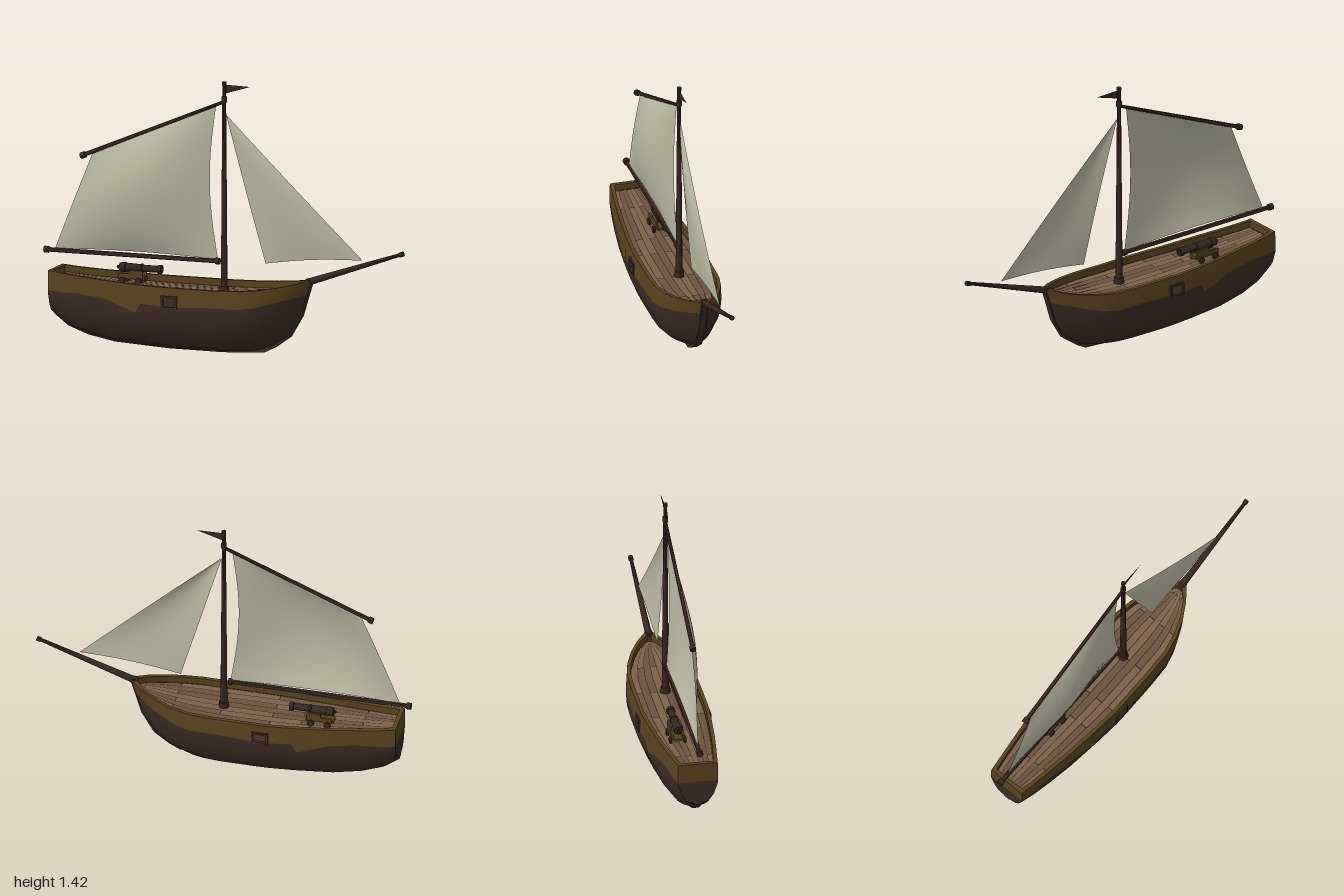
import * as THREE from 'three';
import { toCreasedNormals } from 'three/addons/utils/BufferGeometryUtils.js';

const mat = (name, color, side = THREE.FrontSide) => {
  const m = new THREE.MeshStandardMaterial({ color, side });
  m.name = name;
  return m;
};
const V = (x, y, z = 0) => new THREE.Vector3(x, y, z);

// Piecewise linear lookup in [[key, value], ...]
function lookup(table, t) {
  for (let i = 1; i < table.length; i++) {
    const [a, va] = table[i - 1], [b, vb] = table[i];
    if (t <= b) return va + (vb - va) * (t - a) / (b - a);
  }
  return table[table.length - 1][1];
}

// Collects quads (corners counter-clockwise from outside) into one geometry
class Quads {
  constructor() { this.p = []; }
  add(a, b, c, d, flip = false) {
    const order = flip ? [a, c, b, a, d, c] : [a, b, c, a, c, d];
    order.forEach(v => this.p.push(v.x, v.y, v.z));
  }
  geometry(crease = 0.6) {
    const g = new THREE.BufferGeometry();
    g.setAttribute('position', new THREE.Float32BufferAttribute(this.p, 3));
    return toCreasedNormals(g, crease);
  }
}

export function createModel() {
  const group = new THREE.Group();
  group.name = 'sailingBoat';
  const D = THREE.DoubleSide;
  const upperWood = mat('upperHullWood', 0x5a431d, D);
  const lowerWood = mat('lowerHullWood', 0x3d2c24, D);
  const sparWood = mat('sparWood', 0x38271f, D);
  const plankA = mat('plankLight', 0x7d6249, D);
  const plankB = mat('plankMid', 0x6c533d, D);
  const seamMat = mat('deckSeam', 0x2e2119, D);
  const iron = mat('cannonMetal', 0x352820);
  const canvas = mat('sailCloth', 0xbab9a3, D);

  const add = (name, geo, material, parent = group) => {
    const m = new THREE.Mesh(geo, material);
    m.name = name;
    parent.add(m);
    return m;
  };

  // Hull stations: x at rim, rim y, bottom y, half width, height fraction of the paint edge
  const stations = [
    [-0.94, 0.385, 0.15, 0.105, 0.56], [-0.86, 0.376, 0.09, 0.117, 0.65],
    [-0.75, 0.368, 0.05, 0.133, 0.72], [-0.6, 0.36, 0.022, 0.153, 0.72],
    [-0.43, 0.353, 0.012, 0.17, 0.57], [-0.40, 0.352, 0.01, 0.173, 0.72],
    [-0.27, 0.35, 0.006, 0.183, 0.71], [-0.20, 0.35, 0.005, 0.184, 0.71],
    [0, 0.35, 0.006, 0.183, 0.74], [0.15, 0.355, 0.01, 0.178, 0.72],
    [0.25, 0.364, 0.012, 0.157, 0.74], [0.34, 0.377, 0.015, 0.122, 0.78],
    [0.42, 0.393, 0.018, 0.075, 0.79], [0.49, 0.41, 0.02, 0.016, 0.8],
  ];
  const fullness = [[0, 0.08], [0.08, 0.55], [0.22, 0.78], [0.5, 1], [0.75, 1.03], [1, 0.98]];
  const stemRake = [[0, 0.27], [0.08, 0.21], [0.22, 0.125], [0.5, 0.06], [0.8, 0.025], [1, 0]];
  const hullPoint = (i, j, s) => {
    const [x, top, bottom, w, edge] = stations[i];
    const f = [0, 0.08, 0.22, 0.36, 0.5, edge, 0.855, 1][j];
    const rake = Math.max(0, x / 0.49) * lookup(stemRake, f);
    return V(x - rake, bottom + f * (top - bottom), s * w * lookup(fullness, f));
  };

  // Hull skin in two colours, with an open gun port on each side
  const upper = new Quads(), lower = new Quads(), rim = new Quads();
  const last = stations.length - 1;
  for (let j = 0; j < 7; j++) {
    const skin = j < 5 ? lower : upper;
    for (const s of [1, -1]) {
      for (let i = 0; i < last; i++) {
        if (i === 6 && j === 5) continue;
        skin.add(hullPoint(i, j, s), hullPoint(i + 1, j, s),
          hullPoint(i + 1, j + 1, s), hullPoint(i, j + 1, s), s < 0);
      }
    }
    skin.add(hullPoint(0, j, -1), hullPoint(0, j, 1), hullPoint(0, j + 1, 1), hullPoint(0, j + 1, -1));
  }
  for (let i = 0; i < last; i++) {
    lower.add(hullPoint(i, 0, -1), hullPoint(i + 1, 0, -1), hullPoint(i + 1, 0, 1), hullPoint(i, 0, 1));
  }

  // Gunwale cap and inner bulwark down to the deck
  const inner = (i, s, drop) => {
    const [x, top, , w] = stations[i];
    const px = i === 0 ? x + 0.022 : i === last ? x - 0.025 : x;
    return V(px, top - drop, s * Math.max(0.002, w * 0.98 - 0.02));
  };
  const DECK = 0.036;
  for (const s of [1, -1]) {
    for (let i = 0; i < last; i++) {
      rim.add(hullPoint(i, 7, s), hullPoint(i + 1, 7, s), inner(i + 1, s, 0), inner(i, s, 0), s < 0);
      rim.add(inner(i, s, 0), inner(i + 1, s, 0), inner(i + 1, s, DECK), inner(i, s, DECK), s < 0);
    }
  }
  rim.add(hullPoint(0, 7, -1), hullPoint(0, 7, 1), inner(0, 1, 0), inner(0, -1, 0));
  rim.add(inner(0, -1, 0), inner(0, 1, 0), inner(0, 1, DECK), inner(0, -1, DECK));
  rim.add(hullPoint(last, 7, 1), hullPoint(last, 7, -1), inner(last, -1, 0), inner(last, 1, 0));
  add('upperHull', upper.geometry(), upperWood);
  add('lowerHull', lower.geometry(), lowerWood);
  add('gunwale', rim.geometry(), upperWood);

  // Deck planks over a dark base that shows as seams
  const planks = [new Quads(), new Quads()], base = new Quads();
  const lanes = 8;
  for (let i = 0; i < last; i++) {
    base.add(inner(i, 1, DECK + 0.003), inner(i + 1, 1, DECK + 0.003),
      inner(i + 1, -1, DECK + 0.003), inner(i, -1, DECK + 0.003));
    for (let k = 0; k < lanes; k++) {
      const at = (n, e, dx = 0) => {
        const p = inner(n, 1, DECK);
        return V(p.x + dx, p.y, p.z * (2 * e / lanes - 1));
      };
      const joint = (i + k * 2) % 4 === 0 ? 0.005 : 0;
      const tone = (Math.floor((i + k * 2) / 4) + k) % 2;
      planks[tone].add(at(i, k + 0.95, joint), at(i + 1, k + 0.95), at(i + 1, k + 0.05), at(i, k + 0.05, joint));
    }
  }
  add('deckSeams', base.geometry(), seamMat);
  add('deckPlanksLight', planks[0].geometry(), plankA);
  add('deckPlanksMid', planks[1].geometry(), plankB);

  // Keel and stem strip
  const keelLine = [[-0.94, 0.15], [-0.86, 0.09], [-0.75, 0.05], [-0.6, 0.022], [-0.3, 0.006], [0, 0.005],
    [0.23, 0.018], [0.28, 0.045], [0.365, 0.106], [0.432, 0.215], [0.467, 0.332], [0.493, 0.415]];
  const keelShape = new THREE.Shape();
  keelLine.forEach(([x, y], i) => keelShape[i ? 'lineTo' : 'moveTo'](x + (i > 6 ? 0.004 : 0), y - (i < 9 ? 0.005 : 0)));
  keelLine.slice().reverse().forEach(([x, y]) => keelShape.lineTo(x - (x > 0.2 ? 0.025 : 0), y + (x > 0.3 ? 0 : 0.015)));
  const keelGeo = new THREE.ExtrudeGeometry(keelShape, { depth: 0.036, bevelEnabled: false });
  add('keel', keelGeo.translate(0, 0, -0.018), lowerWood);

  // Gun port frames
  const frame = new THREE.Shape([[-0.044, -0.034], [0.044, -0.034], [0.044, 0.034], [-0.044, 0.034]]
    .map(([x, y]) => new THREE.Vector2(x, y)));
  frame.holes.push(new THREE.Path([[-0.034, -0.024], [-0.034, 0.024], [0.034, 0.024], [0.034, -0.024]]
    .map(([x, y]) => new THREE.Vector2(x, y))));
  for (const s of [1, -1]) {
    const g = new THREE.ExtrudeGeometry(frame, { depth: 0.016, bevelEnabled: false });
    add('gunPortFrame', g.translate(0, 0, -0.008), lowerWood).position.set(-0.235, 0.275, s * 0.185);
  }

  // Tapered round timber between two points
  const rod = (name, a, b, r0, r1, material = sparWood, parent = group, sides = 8) => {
    const dir = b.clone().sub(a);
    const m = add(name, toCreasedNormals(new THREE.CylinderGeometry(r1, r0, dir.length(), sides), 0.9), material, parent);
    m.position.copy(a).add(b).multiplyScalar(0.5);
    m.quaternion.setFromUnitVectors(V(0, 1), dir.normalize());
    return m;
  };

  // Mast, gaff, boom and bowsprit with end caps
  rod('mast', V(0, 0.3), V(0, 1.42), 0.019, 0.01);
  rod('mastFoot', V(0, 0.312), V(0, 0.345), 0.028, 0.025);
  rod('mastBand', V(0, 1.315), V(0, 1.345), 0.015, 0.015);
  rod('mastCap', V(0, 1.405), V(0, 1.423), 0.012, 0.012);
  rod('gaff', V(0, 1.318), V(-0.785, 0.985), 0.009, 0.011);
  rod('gaffCap', V(-0.772, 0.99), V(-0.797, 0.98), 0.017, 0.017);
  rod('boom', V(-0.03, 0.475), V(-0.985, 0.475), 0.012, 0.012);
  rod('boomCap', V(-0.975, 0.475), V(-1, 0.475), 0.018, 0.018);
  rod('boomCap', V(-0.025, 0.475), V(-0.045, 0.475), 0.018, 0.018);
  rod('bowsprit', V(0.46, 0.395), V(0.985, 0.577), 0.019, 0.009);
  rod('bowspritCap', V(0.975, 0.573), V(0.998, 0.581), 0.013, 0.013);

  // Pennant
  const pennant = new Quads();
  pennant.add(V(0.008, 1.362), V(0.14, 1.403), V(0.14, 1.405), V(0.008, 1.408));
  add('pennant', pennant.geometry(), sparWood);

  // Sail patch: bottom left, bottom right, top left, top right
  const sail = (name, bl, br, tl, tr, belly, hollow) => {
    const n = 16, g = new THREE.PlaneGeometry(1, 1, n, n), pos = g.attributes.position;
    for (let i = 0; i < pos.count; i++) {
      const u = pos.getX(i) + 0.5, v = pos.getY(i) + 0.5;
      const p = bl.clone().lerp(br, u).lerp(tl.clone().lerp(tr, u), v);
      const wave = Math.sin(Math.PI * v);
      p.x += hollow * u * wave;
      p.y += 0.012 * Math.sin(Math.PI * u) * (1 - v);
      p.z += belly * Math.sin(Math.PI * u) * Math.pow(wave, 0.8) + 0.006 * wave;
      pos.setXYZ(i, p.x, p.y, p.z);
    }
    g.computeVertexNormals();
    add(name, g, canvas);
  };
  sail('mainSail', V(-0.94, 0.484), V(-0.035, 0.484), V(-0.73, 1.005), V(-0.045, 1.297), 0.062, -0.038);
  sail('jib', V(0.23, 0.48), V(0.77, 0.53), V(0.012, 1.245), V(0.016, 1.245), 0.022, 0);

  // Deck cannon on a wheeled carriage
  const cannon = new THREE.Group();
  cannon.name = 'cannon';
  cannon.position.set(-0.5, 0.32, -0.04);
  group.add(cannon);
  const profile = [[0, -0.112], [0.009, -0.108], [0.009, -0.098], [0.023, -0.094], [0.026, -0.07], [0.026, -0.06],
    [0.023, -0.058], [0.021, 0.02], [0.024, 0.022], [0.024, 0.032], [0.019, 0.034], [0.018, 0.115],
    [0.024, 0.118], [0.024, 0.138], [0.014, 0.138], [0.012, 0.1], [0, 0.1]];
  const barrel = new THREE.LatheGeometry(profile.map(([r, y]) => new THREE.Vector2(r, y)), 10);
  const barrelMesh = add('barrel', toCreasedNormals(barrel, 0.7), iron, cannon);
  barrelMesh.rotation.z = -Math.PI / 2;
  barrelMesh.position.y = 0.082;
  add('carriageBed', new THREE.BoxGeometry(0.15, 0.014, 0.05), upperWood, cannon).position.set(-0.025, 0.03, 0);
  for (const s of [1, -1]) {
    add('carriageCheek', new THREE.BoxGeometry(0.075, 0.045, 0.012), upperWood, cannon).position.set(0.005, 0.05, s * 0.028);
    add('carriageStep', new THREE.BoxGeometry(0.06, 0.025, 0.012), upperWood, cannon).position.set(-0.062, 0.042, s * 0.028);
    for (const x of [-0.07, 0.02]) {
      rod('wheel', V(x, 0.018, s * 0.032), V(x, 0.018, s * 0.044), 0.018, 0.018, sparWood, cannon, 10);
    }
  }
  return group;
}
